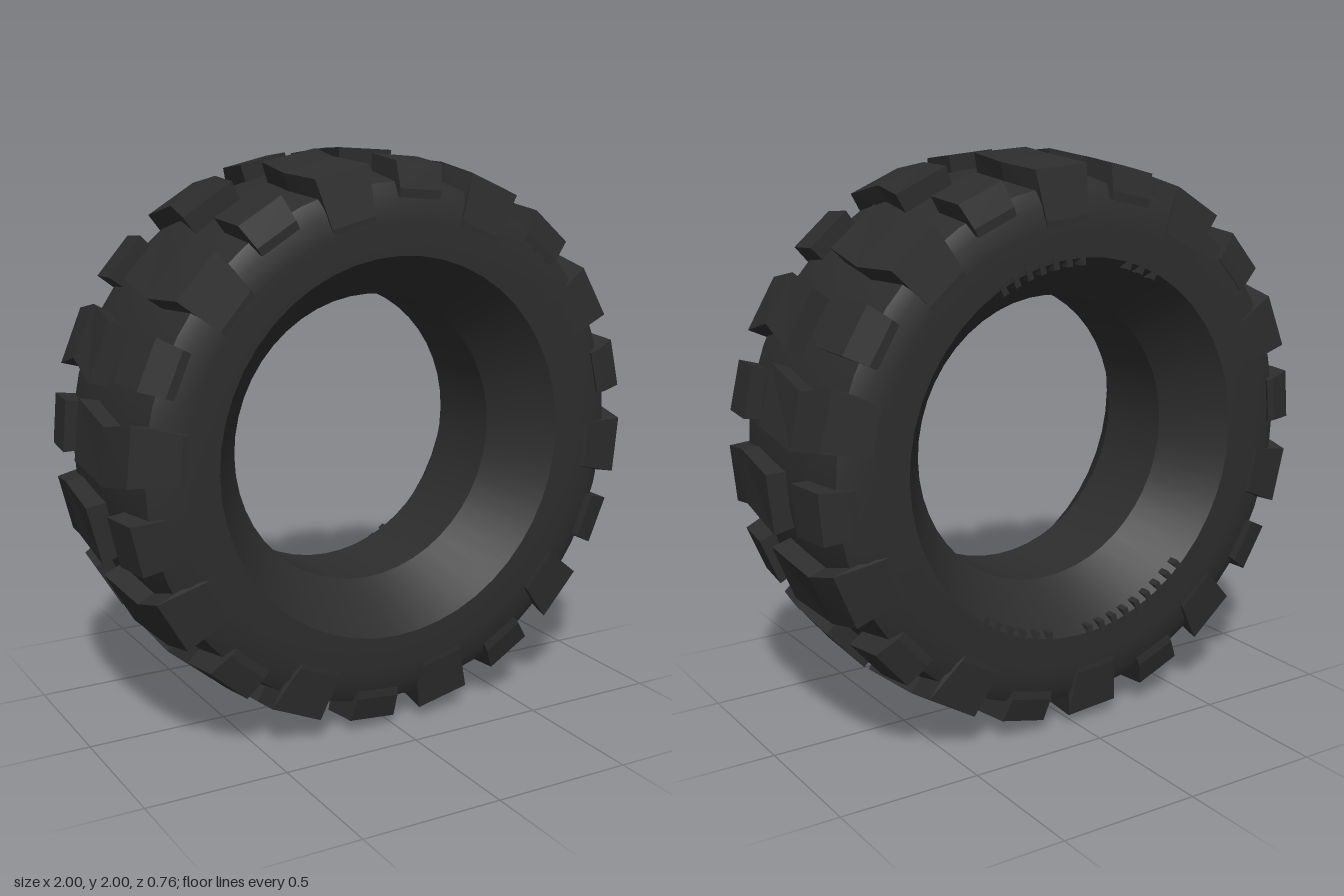
import * as THREE from 'three';
import { toCreasedNormals } from 'three/addons/utils/BufferGeometryUtils.js';

const rad = THREE.MathUtils.degToRad;

// Block lofted along z; each station is [z, outer radius, inner radius, angle shift, half angle] in degrees
function lugGeometry(stations) {
  const rings = stations.map(([z, top, base, shift, half]) =>
    [[base, -half], [top, -half], [top, half], [base, half]].map(([r, a]) => {
      const t = rad(shift + a);
      return [r * Math.cos(t), r * Math.sin(t), z];
    }));
  const pos = [];
  const quad = (a, b, c, d) => pos.push(...a, ...b, ...c, ...a, ...c, ...d);
  for (let s = 0; s < rings.length - 1; s++) {
    for (let i = 0; i < 4; i++) {
      const j = (i + 1) % 4;
      quad(rings[s][i], rings[s][j], rings[s + 1][j], rings[s + 1][i]);
    }
  }
  const first = rings[0], last = rings[rings.length - 1];
  quad(last[0], last[1], last[2], last[3]);
  quad(first[3], first[2], first[1], first[0]);
  const geo = new THREE.BufferGeometry();
  geo.setAttribute('position', new THREE.Float32BufferAttribute(pos, 3));
  geo.computeVertexNormals();
  return geo;
}

export function createModel() {
  const model = new THREE.Group();
  model.name = 'tire';
  const rubber = new THREE.MeshStandardMaterial({ color: 0x2d2d2d });
  rubber.name = 'black rubber';

  const wheel = new THREE.Group();
  wheel.name = 'tireAssembly';
  wheel.position.y = 1;
  model.add(wheel);

  // Carcass: half profile (radius, z) from the crown to the bore, mirrored into a closed ring
  const half = [[0.93, 0], [0.925, 0.2], [0.9, 0.335], [0.85, 0.362], [0.77, 0.37], [0.66, 0.37], [0.51, 0.155]];
  const profile = [
    ...half.slice(1).reverse().map(([r, z]) => new THREE.Vector2(r, -z)),
    ...half.map(([r, z]) => new THREE.Vector2(r, z)),
    new THREE.Vector2(0.51, -0.155),
  ];
  const ring = new THREE.LatheGeometry(profile, 48).rotateX(Math.PI / 2);
  const carcass = new THREE.Mesh(toCreasedNormals(ring, 0.4), rubber);
  carcass.name = 'carcass';
  wheel.add(carcass);

  // Long bent lugs that wrap onto the sidewall, and short shoulder lugs
  const longLug = lugGeometry([
    [-0.03, 1.0, 0.88, -1.3, 6],
    [0.19, 0.988, 0.88, 1.3, 5.6],
    [0.35, 0.965, 0.86, -0.6, 6],
    [0.38, 0.8, 0.78, 0, 5.8],
  ]);
  const shortLug = lugGeometry([
    [0.19, 0.985, 0.88, 0, 5.2],
    [0.345, 0.967, 0.86, 0, 5.2],
    [0.372, 0.88, 0.85, 0, 5.2],
  ]);

  const frontTread = new THREE.Group();
  frontTread.name = 'frontTread';
  for (let k = 0; k < 10; k++) {
    const long = new THREE.Mesh(longLug, rubber);
    long.name = 'longLug';
    long.rotation.z = rad(-5 + 36 * k);
    const short = new THREE.Mesh(shortLug, rubber);
    short.name = 'shortLug';
    short.rotation.z = rad(13 + 36 * k);
    frontTread.add(long, short);
  }
  // The back row is the front row turned over and shifted by half a step
  const backTread = frontTread.clone();
  backTread.name = 'backTread';
  backTread.rotation.set(Math.PI, 0, rad(-8));
  wheel.add(frontTread, backTread);

  // Small ribs on the inner lip of the back rim: [start angle, end angle, count]
  const ribs = new THREE.Group();
  ribs.name = 'rimRibs';
  const ribGeo = new THREE.BoxGeometry(0.04, 0.022, 0.04);
  for (const [from, to, count] of [[62, 90, 7], [107, 117, 3], [228, 266, 9], [281, 306, 6]]) {
    for (let i = 0; i < count; i++) {
      const t = rad(from + (to - from) * i / (count - 1));
      const rib = new THREE.Mesh(ribGeo, rubber);
      rib.name = 'rimRib';
      rib.position.set(0.655 * Math.cos(t), 0.655 * Math.sin(t), -0.353);
      rib.rotation.z = t;
      ribs.add(rib);
    }
  }
  wheel.add(ribs);
  return model;
}
